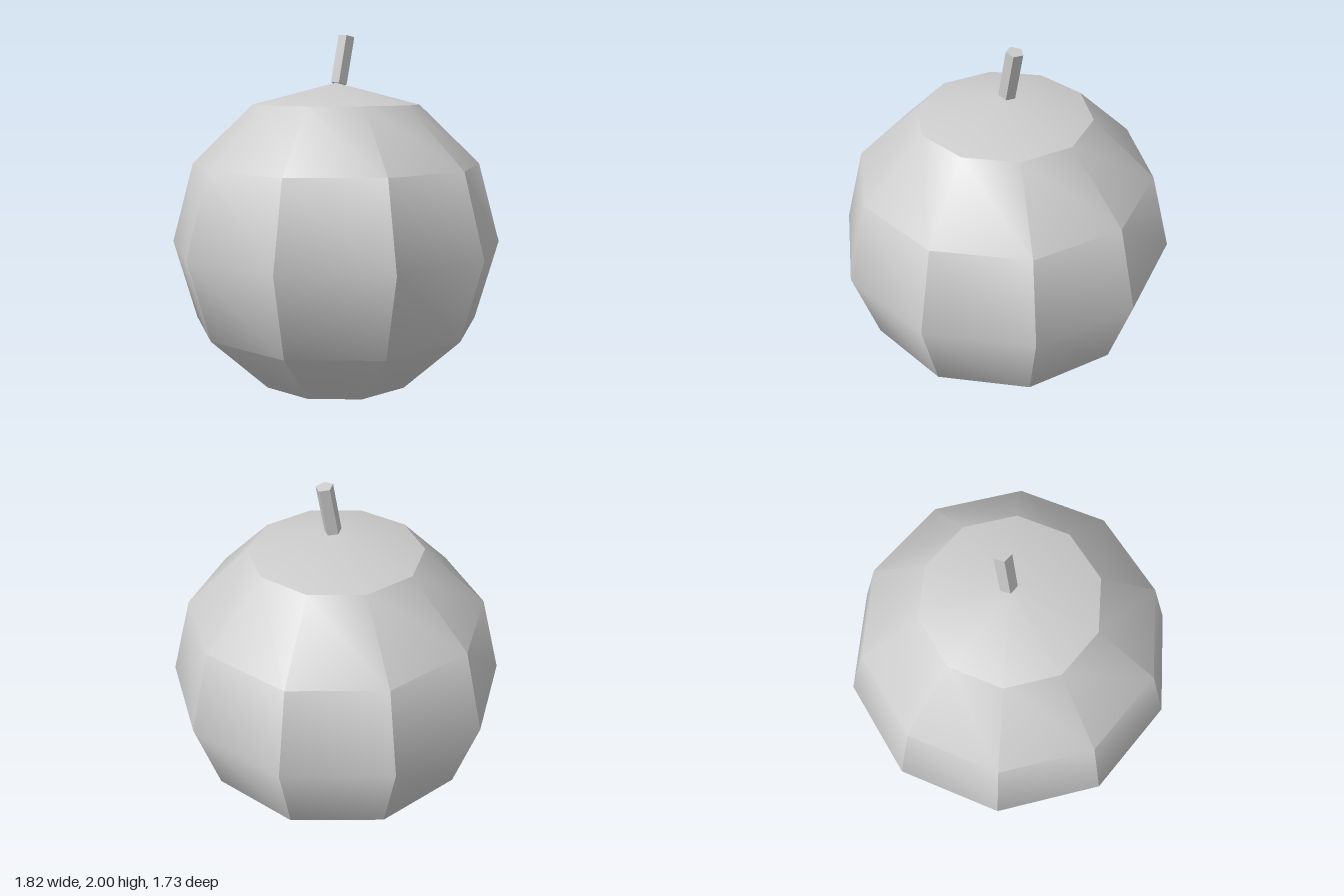
import * as THREE from 'three';
import { toCreasedNormals } from 'three/addons/utils/BufferGeometryUtils.js';

export function createModel() {
  const model = new THREE.Group();
  model.name = 'fruit';

  const grey = new THREE.MeshStandardMaterial({ color: 0xcccccc });
  grey.name = 'light grey';

  const addPart = (name, geometry) => {
    // Edges sharper than 30 degrees stay hard, the rest are smooth
    const mesh = new THREE.Mesh(toCreasedNormals(geometry, Math.PI / 6), grey);
    mesh.name = name;
    model.add(mesh);
    return mesh;
  };

  // Round body: ten sides, six rings, slightly squashed, resting on its pole
  const body = new THREE.SphereGeometry(0.908, 10, 6);
  body.scale(1, 0.872 / 0.908, 1);
  body.translate(0, 0.872, 0);
  addPart('body', body);

  // Five-sided stem leaning to the left, with a corner pointing back
  const stem = new THREE.CylinderGeometry(0.045, 0.045, 0.257, 5);
  stem.rotateY(Math.PI);
  stem.rotateZ(-0.2);
  stem.translate(0.045, 1.865, 0);
  addPart('stem', stem);

  return model;
}
